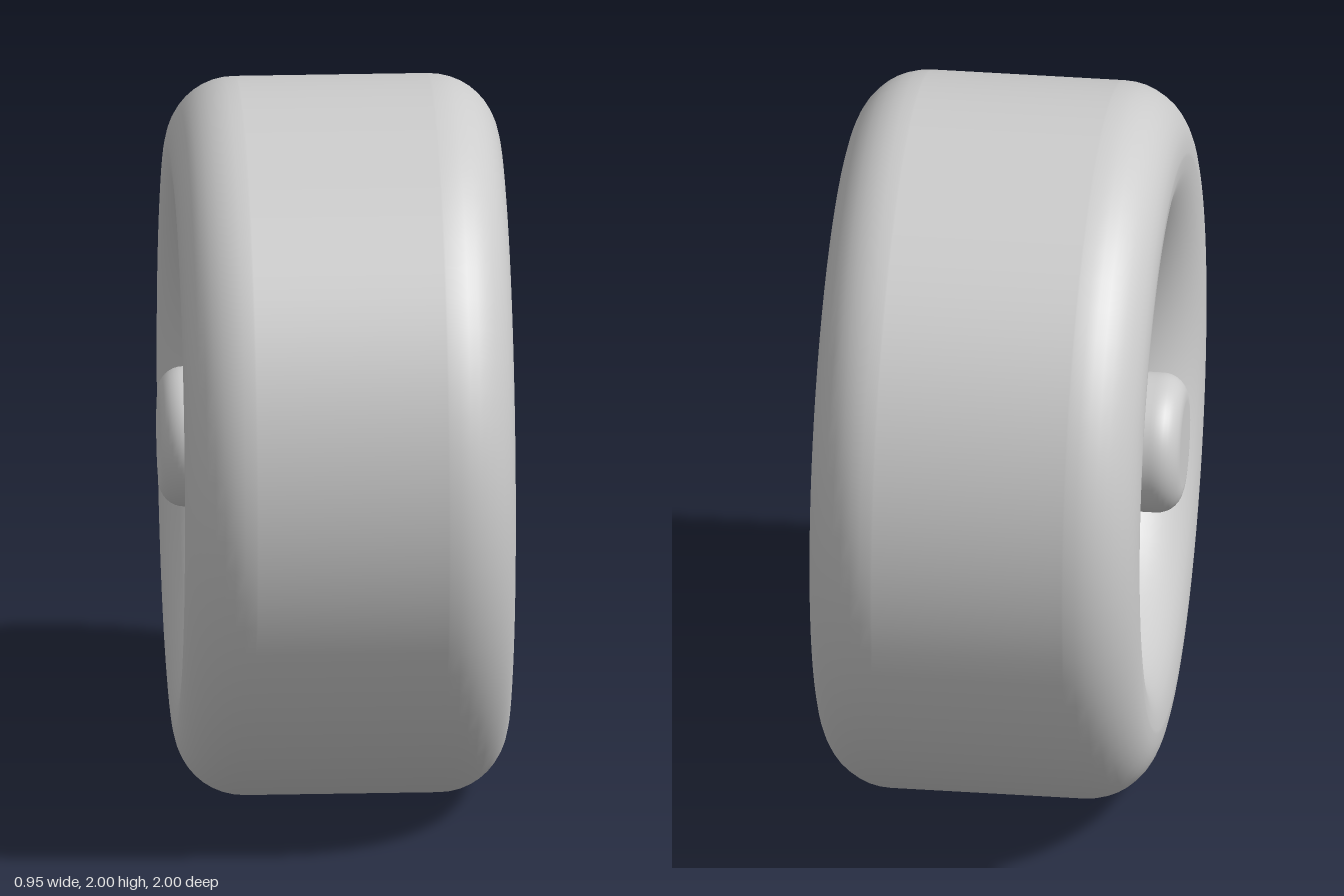
import * as THREE from 'three';

const SEG = 72;

// Points on an elliptical arc in the (radius, x) profile plane; angles in degrees from the radial axis
function arc(cr, cx, ar, ax, from, to, steps = 10) {
  return Array.from({ length: steps + 1 }, (_, i) => {
    const a = THREE.MathUtils.degToRad(from + (to - from) * i / steps);
    return new THREE.Vector2(Math.max(0, cr + ar * Math.cos(a)), cx + ax * Math.sin(a));
  });
}

// Profile spun around the axle, which lies along x
function spin(name, points, material) {
  const geometry = new THREE.LatheGeometry(points, SEG);
  geometry.rotateZ(-Math.PI / 2);
  const mesh = new THREE.Mesh(geometry, material);
  mesh.name = name;
  return mesh;
}

export function createModel() {
  const grey = new THREE.MeshStandardMaterial({ color: 0xcccccc });
  grey.name = 'light grey';
  const p = (r, x) => new THREE.Vector2(r, x);

  const wheel = new THREE.Group();
  wheel.name = 'wheel';
  const body = new THREE.Group();
  body.name = 'wheelBody';
  body.position.y = 1;
  wheel.add(body);

  // Tyre: flat tread, round shoulders, sidewalls rolling into the hole
  body.add(spin('tyre', [
    p(0.55, -0.05),
    ...arc(0.8, -0.19, 0.25, 0.255, 180, 270),
    ...arc(0.81, -0.255, 0.19, 0.19, -90, 0),
    p(1, -0.25), p(1, 0.28),
    ...arc(0.81, 0.285, 0.19, 0.19, 0, 90),
    ...arc(0.8, 0.22, 0.25, 0.255, 90, 180),
    p(0.55, 0.05),
  ], grey));

  // Floor of the narrow gap between the tyre and the hub
  body.add(spin('gapFloor', [p(0.56, 0.1), p(0.48, 0.1)], grey));

  // Outer hub: cylinder with a rounded rim and a flat face
  body.add(spin('hub', [
    p(0.515, 0), p(0.515, 0.07),
    ...arc(0.375, 0.08, 0.14, 0.14, 0, 90),
    p(0.37, 0.22), p(0, 0.22),
  ], grey));

  // Flat disc closing the inner side
  body.add(spin('backDisc', [p(0, -0.27), p(0.57, -0.27)], grey));

  // Axle stub with a rounded tip
  body.add(spin('axleStub', [
    p(0, -0.48), p(0.12, -0.48),
    ...arc(0.125, -0.41, 0.07, 0.07, -90, 0, 8),
    p(0.195, -0.4), p(0.195, -0.26),
  ], grey));

  return wheel;
}
